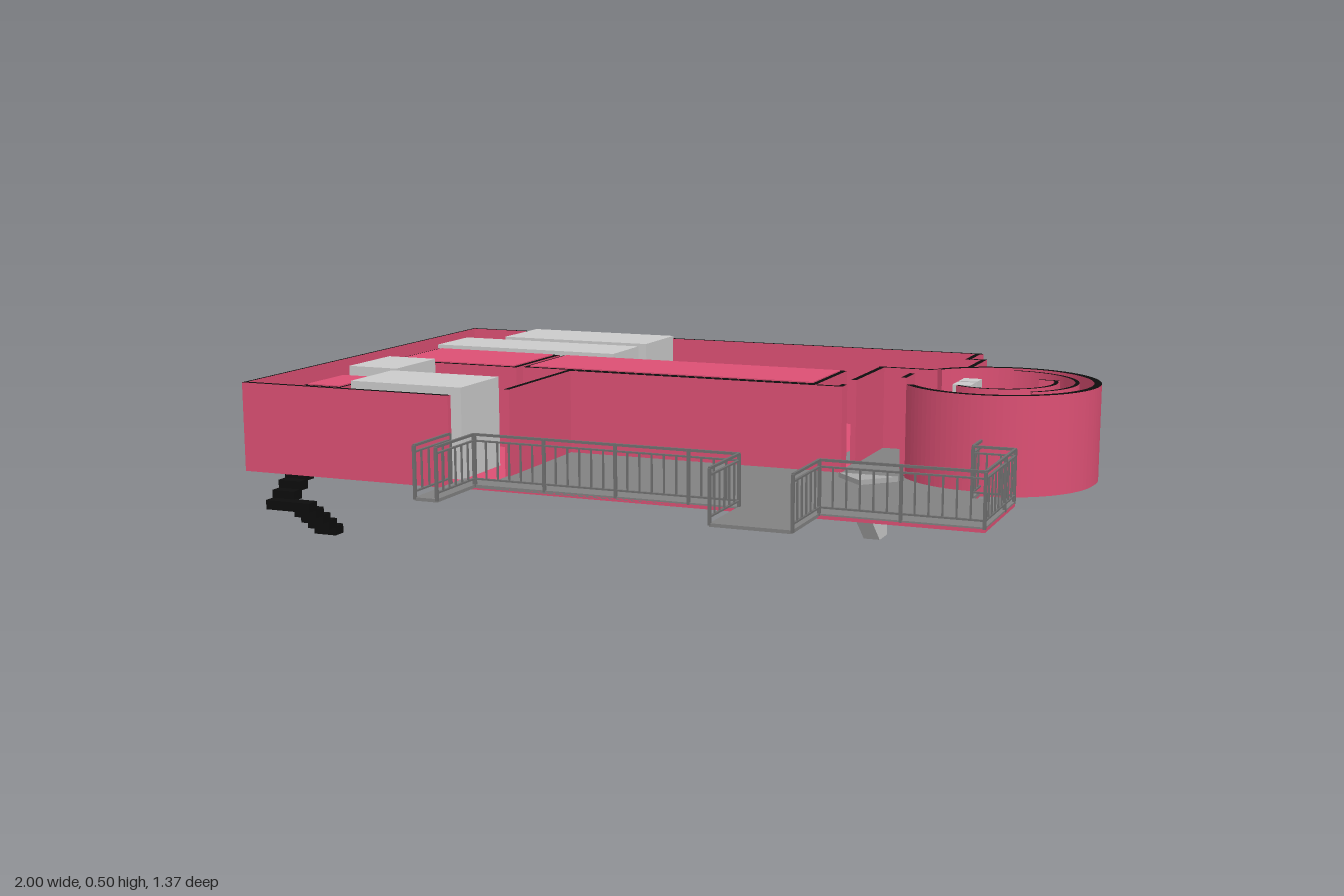
import * as THREE from 'three';

const mat = (color) => new THREE.MeshStandardMaterial({ color });

export function createModel() {
  const model = new THREE.Group();
  const red = mat(0xdc5074), black = mat(0x0d0d0d), dark = mat(0x828282), grey = mat(0xcccccc), rail = mat(0x707070);
  const capped = [red, red, black, red, red, red]; // red sides, black top

  function add(name, geometry, material, parent = model) {
    const mesh = new THREE.Mesh(geometry, material);
    mesh.name = name;
    parent.add(mesh);
    return mesh;
  }
  function group(name) {
    const g = new THREE.Group();
    g.name = name;
    model.add(g);
    return g;
  }
  // Box given by its limits on each axis
  function box(name, x0, x1, y0, y1, z0, z1, material, parent) {
    const m = add(name, new THREE.BoxGeometry(x1 - x0, y1 - y0, z1 - z0), material, parent);
    m.position.set((x0 + x1) / 2, (y0 + y1) / 2, (z0 + z1) / 2);
    return m;
  }
  const plan = (pts) => pts.map(([x, z]) => new THREE.Vector2(x, -z));
  const rect = (x0, x1, z0, z1) => [[x0, z0], [x1, z0], [x1, z1], [x0, z1]];
  // Plan outline (x, z) raised from y0 to y1
  function slab(name, shape, y0, y1, material, parent) {
    const g = new THREE.ExtrudeGeometry(shape, { depth: y1 - y0, bevelEnabled: false, curveSegments: 40 });
    g.rotateX(-Math.PI / 2);
    g.translate(0, y0, 0);
    return add(name, g, material, parent);
  }

  // Main floor with stairwell openings
  const stairHole = rect(0.325, 0.37, -0.49, -0.08);
  const floor = new THREE.Shape(plan([
    [-1, -0.68], [0.57, -0.68], [0.57, -0.56], [0.61, -0.56], [0.61, -0.335], [0.77, -0.335],
    [0.77, 0.21], [0.87, 0.21], [0.87, 0.5], [-1, 0.5]]));
  [rect(-0.9, -0.785, -0.67, -0.5), rect(-0.98, -0.85, 0.31, 0.49), rect(0.47, 0.6, -0.53, -0.355), stairHole]
    .forEach((h) => floor.holes.push(new THREE.Path(plan(h))));
  slab('floor', floor, 0.258, 0.266, red);

  // Terrace paving, with two tabs at the front
  slab('terrace', new THREE.Shape(plan([
    [-0.34, 0.03], [0.39, 0.03], [0.39, -0.33], [0.67, -0.33], [0.67, 0.1], [0.77, 0.1], [0.77, 0.21],
    [0.87, 0.21], [0.87, 0.5], [0.495, 0.5], [0.495, 0.68], [0.305, 0.68], [0.305, 0.5],
    [-0.365, 0.5], [-0.365, 0.68], [-0.425, 0.68], [-0.425, 0.44], [-0.34, 0.44]])), 0.262, 0.27, dark);
  slab('hallFloor', new THREE.Shape(plan([
    [0.385, -0.67], [0.54, -0.67], [0.54, -0.53], [0.47, -0.53], [0.47, -0.335], [0.385, -0.335]])), 0.262, 0.27, dark);
  slab('wedge', new THREE.Shape(plan([[0.41, 0.09], [0.56, 0.09], [0.485, 0.165]])), 0.254, 0.282, mat(0xaaaaaa));
  box('underPanel', -0.01, 0.11, 0.254, 0.262, 0.16, 0.28, dark);

  // Straight walls: two end points in plan
  const T = 0.007, base = 0.26, top = 0.483;
  const walls = group('walls');
  [[-1, -0.68, 0.57, -0.68], [-1, -0.68, -1, 0.51], [-1, 0.51, -0.43, 0.51],
    [0.564, -0.68, 0.564, -0.56], [0.564, -0.565, 0.606, -0.565], [0.606, -0.565, 0.606, -0.34],
    [0.39, -0.335, 0.67, -0.335], [0.392, -0.335, 0.392, -0.09], [0.392, 0.0, 0.392, 0.025],
    [-0.34, 0.027, 0.392, 0.027], [-0.34, 0.027, -0.34, 0.37]]
    .forEach(([x0, z0, x1, z1]) => box('wall', Math.max(x0 - T, -1), x1 + T, base, top,
      Math.max(z0 - T, -0.685), z1 + T, capped, walls));

  // Closed rooms: black rim with a red roof
  [[-0.875, -0.5, -0.25, 0.012], [-0.487, 0.322, -0.25, 0.0], [-0.845, -0.738, 0.305, 0.483]].forEach(([x0, x1, z0, z1], i) => {
    const w = i < 2 ? 0.014 : 0.008;
    box('roomWalls', x0, x1, i < 2 ? 0.254 : base, top - 0.003, z0, z1, capped);
    box('roomRoof', x0 + w, x1 - w, top - 0.02, top, z0 + w, z1 - w, red);
  });

  // Plain grey blocks
  [[-0.785, -0.34, -0.675, -0.475], [-0.88, -0.34, -0.42, -0.25], [-0.88, -0.74, 0.015, 0.215], [-0.735, -0.43, 0.245, 0.44]]
    .forEach(([x0, x1, z0, z1]) => box('greyBlock', x0, x1, base, 0.491, z0, z1, grey));

  // Round room: open ring, curved inner walls and floor
  const round = group('roundRoom'), cx = 0.755, cz = -0.108;
  function arcWall(name, r, t, from, to) {
    const a = THREE.MathUtils.degToRad(from), b = THREE.MathUtils.degToRad(to);
    const s = new THREE.Shape();
    s.absarc(cx, -cz, r, a, b, false);
    s.absarc(cx, -cz, r - t, b, a, true);
    s.closePath();
    slab(name, s, 0.262, 0.498, [black, red], round);
  }
  arcWall('outerRing', 0.243, 0.018, -143, 143);
  arcWall('middleArc', 0.19, 0.01, -54, 92);
  arcWall('innerArc', 0.14, 0.01, -125, 22);
  box('innerArcEnd', 0.84, 0.89, 0.262, 0.498, -0.165, -0.156, capped, round);
  box('doorPost', 0.517, 0.531, 0.262, 0.498, -0.15, -0.07, capped, round);
  const disc = add('roundFloor', new THREE.CylinderGeometry(0.238, 0.238, 0.016, 48), red, round);
  disc.position.set(cx, 0.266, cz);
  [-0.148, -0.083].forEach((z) => box('pillar', 0.65, 0.695, 0.265, 0.49, z - 0.025, z + 0.025, grey, round));

  // Two-flight stairs: upper flight runs along dir, lower flight returns beside it
  function stairs(xUpper, xLower, zStart, dir) {
    const g = group('stairs');
    const n = 5, stepZ = 0.029, stepY = 0.0205;
    for (let i = 0; i < 2 * n - 1; i++) {
      const k = i < n ? i : 2 * n - 2 - i;
      const x = i < n ? xUpper : xLower, z = zStart + dir * k * stepZ, y = 0.25 - i * stepY;
      box('step', x - 0.0315, x + 0.0315, y - 0.012, y + 0.012, z - 0.0185, z + 0.0185, black, g);
      if (i === n - 1) box('landing', xLower - 0.0315, xLower + 0.0315, y - 0.012, y + 0.012, z - 0.0185, z + 0.0185, black, g);
    }
  }
  stairs(-0.941, -0.878, 0.342, 1);
  stairs(-0.815, -0.87, -0.522, -1);
  stairs(0.503, 0.567, -0.498, 1);

  // Enclosed ramp stair: two side panels, sloping underside and treads
  const ramp = group('rampStair');
  const side = new THREE.Shape([[0.08, 0.262], [0.185, 0.262], [0.4, 0.11], [0.4, 0.055], [0.485, 0.055],
    [0.485, 0], [0.415, 0], [0.155, 0.225], [0.08, 0.225]].map(([a, b]) => new THREE.Vector2(a, b)));
  const under = new THREE.Shape([[0.08, 0.235], [0.16, 0.235], [0.42, 0.01], [0.485, 0.01],
    [0.485, 0], [0.415, 0], [0.155, 0.225], [0.08, 0.225]].map(([a, b]) => new THREE.Vector2(a, b)));
  function panel(name, shape, x, width) {
    const g = new THREE.ExtrudeGeometry(shape, { depth: width, bevelEnabled: false });
    g.rotateY(Math.PI / 2);
    g.translate(x, 0, 0);
    add(name, g, grey, ramp);
  }
  panel('rampSide', side, 0.325, 0.004);
  panel('rampSide', side, 0.366, 0.004);
  panel('rampUnderside', under, 0.328, 0.039);
  for (let i = 0; i < 12; i++) {
    const z = -0.165 - i * 0.0205, y = 0.24 - i * 0.0178;
    box('tread', 0.329, 0.366, y - 0.012, y, z - 0.0205, z, dark, ramp);
  }

  // Railings: each run between two plan points, posts with thin pickets
  const railings = group('railings');
  function railing(x0, z0, x1, z1) {
    const run = new THREE.Group();
    run.name = 'railingRun';
    const length = Math.hypot(x1 - x0, z1 - z0);
    [[0.391, 0.006], [0.376, 0.004], [0.284, 0.004]].forEach(([y, h]) =>
      box('bar', 0, length, y - h / 2, y + h / 2, -0.003, 0.003, rail, run));
    const n = Math.max(2, Math.round(length / 0.031));
    for (let i = 0; i <= n; i++) {
      const x = (length * i) / n, post = i === 0 || i === n || i % 6 === 0, w = post ? 0.0035 : 0.002;
      box(post ? 'post' : 'picket', x - w, x + w, post ? 0.265 : 0.284, post ? 0.391 : 0.376, -w, w, rail, run);
    }
    run.position.set(x0, 0, z0);
    run.rotation.y = -Math.atan2(z1 - z0, x1 - x0);
    railings.add(run);
  }
  [[-0.365, 0.497, 0.305, 0.497], [0.495, 0.497, 0.868, 0.497], [0.868, 0.497, 0.868, 0.212],
    [0.868, 0.212, 0.77, 0.212], [0.77, 0.212, 0.77, 0.13], [0.305, 0.497, 0.305, 0.678],
    [0.495, 0.497, 0.495, 0.678], [-0.367, 0.497, -0.367, 0.678], [-0.424, 0.51, -0.424, 0.678]]
    .forEach((r) => railing(...r));

  return model;
}
